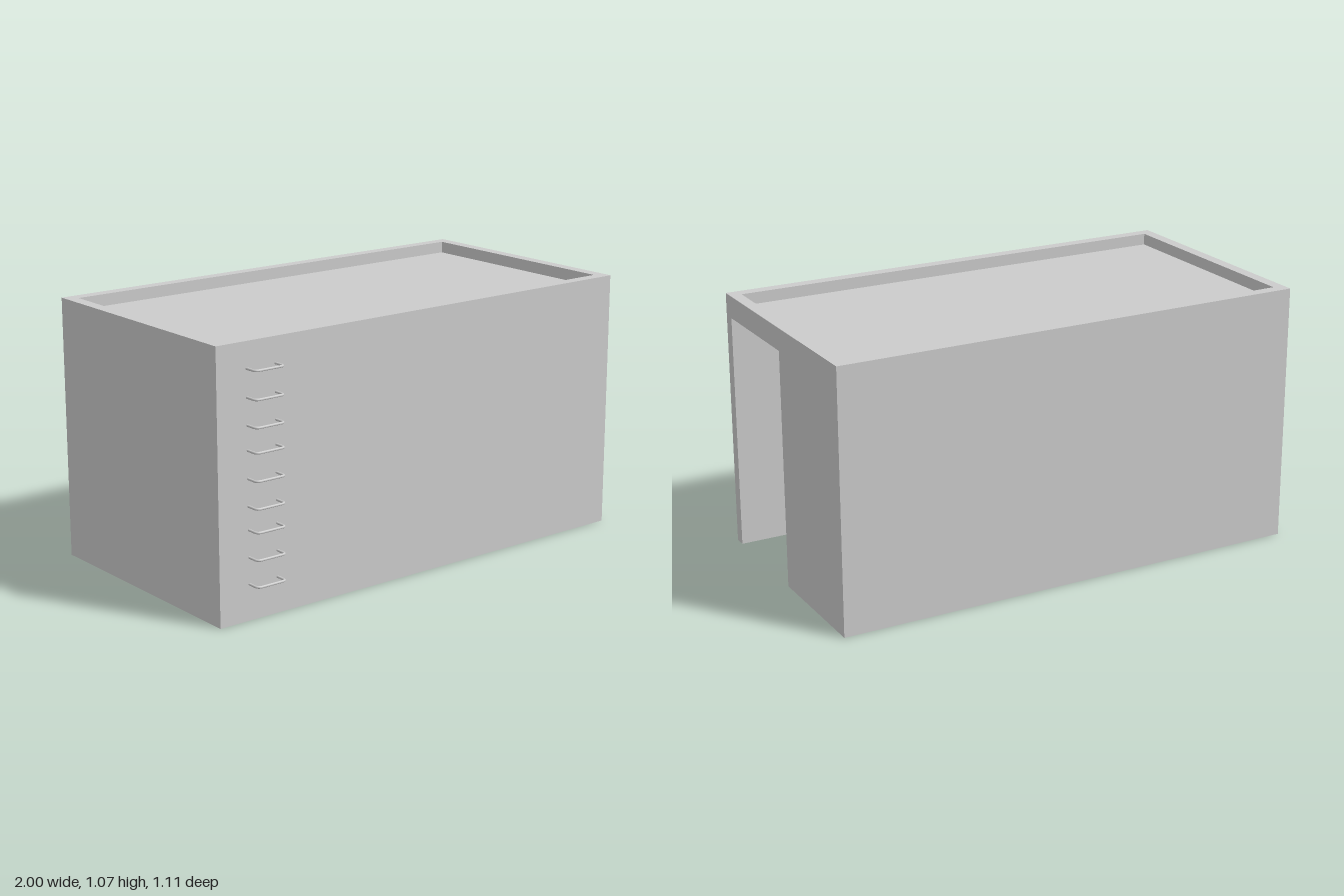
import * as THREE from 'three';

const W = 1, FRONT = 0.495, BACK = -0.553, T = 0.048; // half width, wall faces, wall thickness
const HEIGHT = 1.071, CEILING = 0.979, ROOF = 1.023;
const DOOR_BACK = -0.03;

export function createModel() {
  const model = new THREE.Group();
  const grey = new THREE.MeshStandardMaterial({ color: 0xcccccc });

  const add = (name, geometry, parent = model) => {
    const mesh = new THREE.Mesh(geometry, grey);
    mesh.name = name;
    parent.add(mesh);
    return mesh;
  };
  // Plan outlines are given as [x, z] and raised from y0 to y1
  const outline = pts => pts.map(([x, z]) => new THREE.Vector2(x, -z));
  const raise = (shape, y0, y1) =>
    new THREE.ExtrudeGeometry(shape, { depth: y1 - y0, bevelEnabled: false })
      .rotateX(-Math.PI / 2).translate(0, y0, 0);
  const rect = (x, front, back) => outline([[-x, front], [x, front], [x, back], [-x, back]]);

  const xi = W - T, fi = FRONT - T, bi = BACK + T;

  // Walls up to the ceiling, with the doorway left open in the +x side
  add('walls', raise(new THREE.Shape(outline([
    [-W, FRONT], [W, FRONT], [W, fi], [-xi, fi], [-xi, bi], [xi, bi],
    [xi, DOOR_BACK], [W, DOOR_BACK], [W, BACK], [-W, BACK],
  ])), 0, CEILING));

  // Lintel and parapet band around the roof
  const band = new THREE.Shape(rect(W, FRONT, BACK));
  band.holes.push(new THREE.Path(rect(xi, fi, bi)));
  add('parapet', raise(band, CEILING, HEIGHT));

  // Sunken flat roof
  add('roof', raise(new THREE.Shape(rect(xi, fi, bi)), CEILING, ROOF));

  // Bent-bar ladder rungs on the front wall
  const r = 0.005, x0 = -0.865, x1 = -0.735, z0 = FRONT - 0.003, z1 = 0.548, c = 0.018;
  const v = (x, z) => new THREE.Vector3(x, 0, z);
  const path = new THREE.CurvePath();
  path.add(new THREE.LineCurve3(v(x0, z0), v(x0, z1 - c)));
  path.add(new THREE.QuadraticBezierCurve3(v(x0, z1 - c), v(x0, z1), v(x0 + c, z1)));
  path.add(new THREE.LineCurve3(v(x0 + c, z1), v(x1 - c, z1)));
  path.add(new THREE.QuadraticBezierCurve3(v(x1 - c, z1), v(x1, z1), v(x1, z1 - c)));
  path.add(new THREE.LineCurve3(v(x1, z1 - c), v(x1, z0)));
  const rungGeometry = new THREE.TubeGeometry(path, 60, r, 10);

  const ladder = new THREE.Group();
  ladder.name = 'ladder';
  model.add(ladder);
  [0.144, 0.249, 0.356, 0.447, 0.553, 0.661, 0.756, 0.861, 0.969].forEach((y, i) => {
    add(`rung${i + 1}`, rungGeometry, ladder).position.y = y;
  });

  return model;
}
